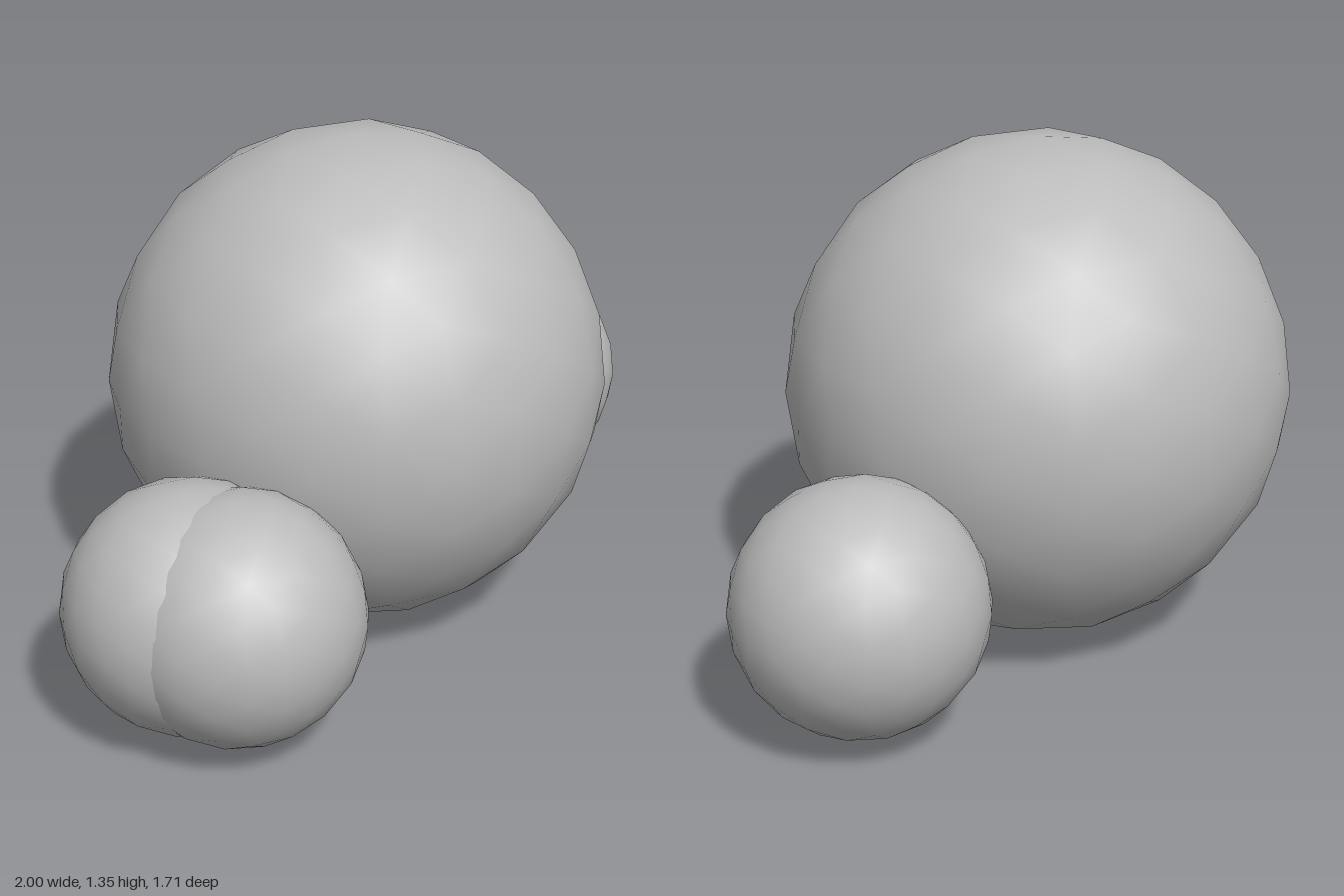
import * as THREE from 'three';

// Smooth icosphere, split twice so the vertices are evenly spread
function icosphere(radius) {
  const base = new THREE.IcosahedronGeometry(1, 1);
  const points = Array.from(base.attributes.position.array);
  const indices = Array.from({ length: points.length / 3 }, (_, i) => i);
  return new THREE.PolyhedronGeometry(points, indices, radius, 1);
}

export function createModel() {
  const model = new THREE.Group();
  model.name = 'sphereCluster';
  const grey = new THREE.MeshStandardMaterial({ color: 0xbbbbbb });
  grey.name = 'grey';

  const addSphere = (name, geometry, x, y, z) => {
    const mesh = new THREE.Mesh(geometry, grey);
    mesh.name = name;
    mesh.position.set(x, y, z);
    model.add(mesh);
  };

  // Large central sphere
  addSphere('mainSphere', icosphere(0.675), -0.01, 0.675, -0.07);

  // Three small spheres: an overlapping pair at the front, one at the back
  const small = icosphere(0.328);
  addSphere('frontSphere', small, -0.58, 0.35, 0.525);
  addSphere('sideSphere', small, -0.672, 0.35, 0.427);
  addSphere('backSphere', small, 0.672, 0.35, -0.53);

  return model;
}
